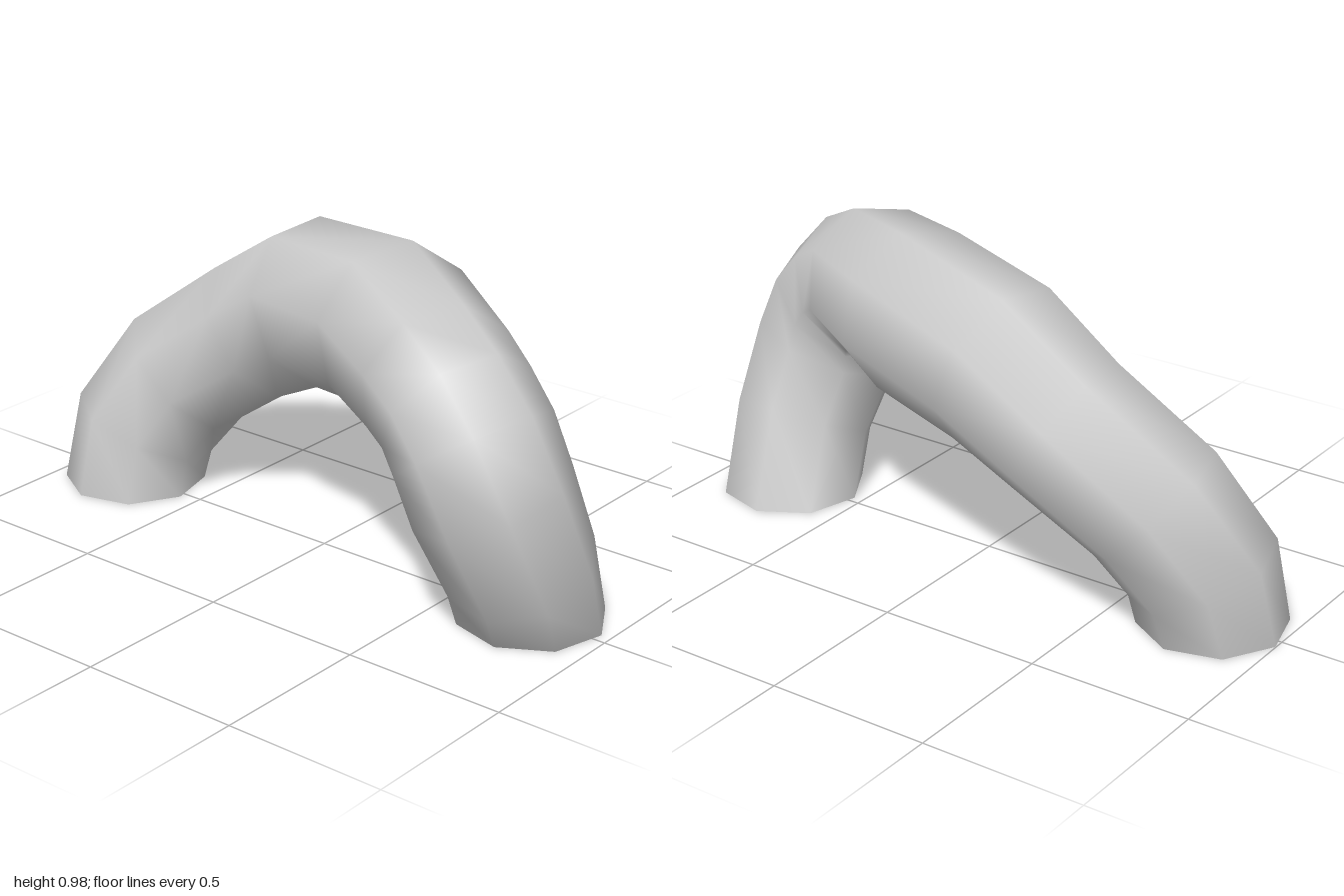
import * as THREE from 'three';

// Centre line of the bent pipe with the radius of each ring: x, y, z, r
const RINGS = [
  [-0.78, 0, -0.005, 0.22],
  [-0.76, 0.18, -0.04, 0.225],
  [-0.64, 0.37, -0.11, 0.23],
  [-0.38, 0.56, -0.17, 0.235],
  [-0.155, 0.69, -0.16, 0.255],
  [0.215, 0.73, -0.055, 0.255],
  [0.5, 0.7, 0.125, 0.235],
  [0.6, 0.655, 0.17, 0.23],
  [0.675, 0.575, 0.19, 0.235],
  [0.74, 0.43, 0.185, 0.235],
  [0.775, 0.2, 0.09, 0.22],
  [0.75, 0, -0.005, 0.22],
];
const SIDES = 8;

function bentTube(rings, sides) {
  const centres = rings.map(([x, y, z]) => new THREE.Vector3(x, y, z));
  const direction = (a, b) => b.clone().sub(a).normalize();
  const last = rings.length - 1;
  const u = new THREE.Vector3(-0.99, 0, -0.13);
  const positions = [];
  const index = [];

  centres.forEach((c, i) => {
    // The end rings lie flat on the ground; the others halve the bend
    const t = i === 0 ? new THREE.Vector3(0, 1, 0)
      : i === last ? new THREE.Vector3(0, -1, 0)
      : direction(centres[i - 1], c).add(direction(c, centres[i + 1])).normalize();
    // Carry the ring's orientation along without twisting
    u.addScaledVector(t, -u.dot(t)).normalize();
    const v = t.clone().cross(u);
    for (let j = 0; j < sides; j++) {
      const a = (j / sides) * Math.PI * 2;
      const p = c.clone()
        .addScaledVector(u, rings[i][3] * Math.cos(a))
        .addScaledVector(v, rings[i][3] * Math.sin(a));
      positions.push(p.x, p.y, p.z);
      if (i < last) {
        const k = (j + 1) % sides;
        const p0 = i * sides + j, p1 = i * sides + k;
        index.push(p0, p1, p0 + sides, p1, p1 + sides, p0 + sides);
      }
    }
  });

  const geometry = new THREE.BufferGeometry();
  geometry.setAttribute('position', new THREE.Float32BufferAttribute(positions, 3));
  geometry.setIndex(index);
  geometry.computeVertexNormals();
  return geometry;
}

export function createModel() {
  const group = new THREE.Group();
  group.name = 'bentPipe';
  // Open-ended pipe, visible from inside as well
  const pipe = new THREE.Mesh(
    bentTube(RINGS, SIDES),
    new THREE.MeshStandardMaterial({ color: 0xcccccc, side: THREE.DoubleSide }),
  );
  pipe.name = 'pipe';
  group.add(pipe);
  return group;
}
